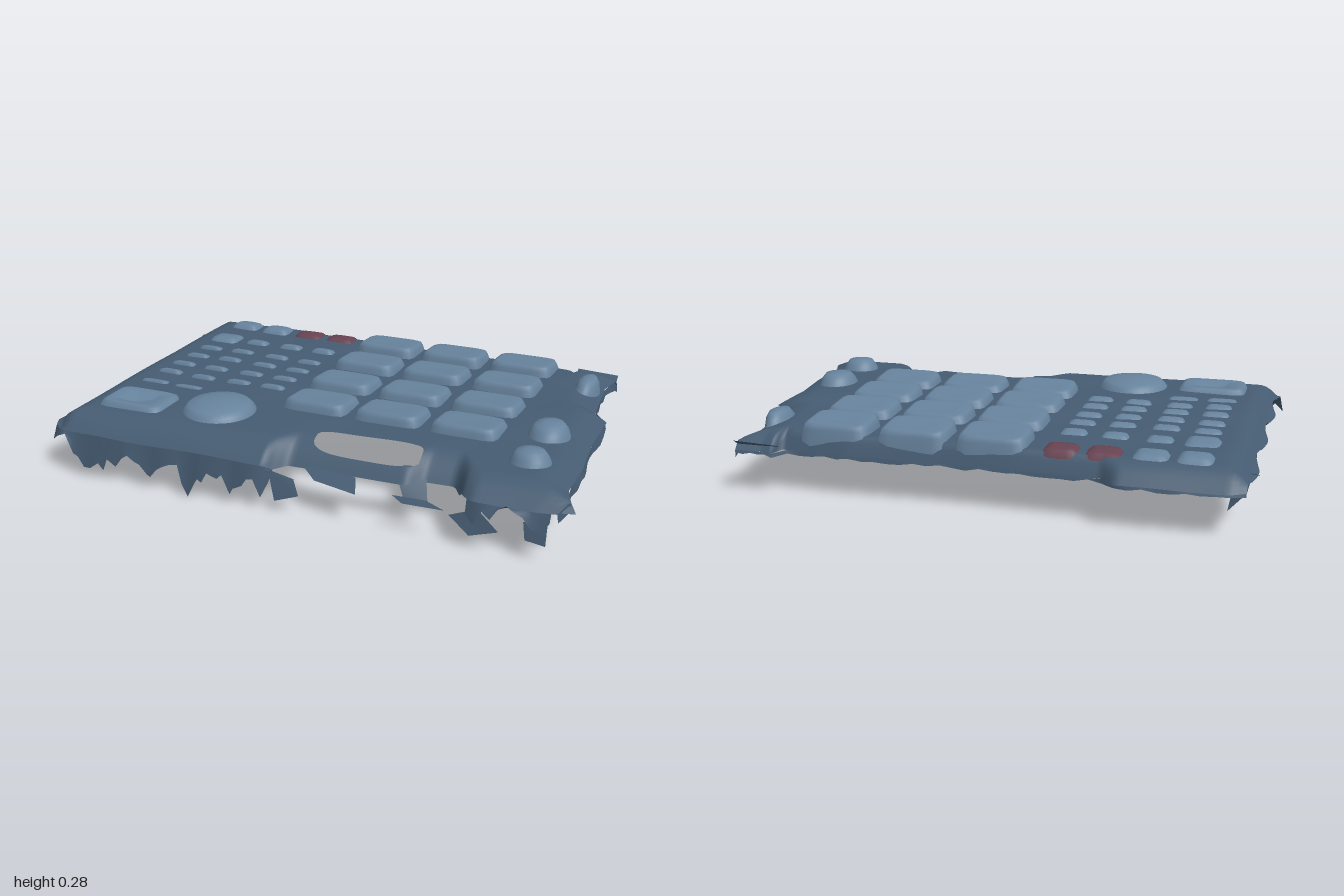
import * as THREE from 'three';

const mat = (color, side = THREE.DoubleSide) => new THREE.MeshStandardMaterial({ color, side });
const panelMat = mat(0x465c72), keyMat = mat(0x67839d), redMat = mat(0x684352);
const innerMat = mat(0x465c72, THREE.FrontSide);

// Piecewise linear curve through [position, value] knots
function curve(knots, x) {
  if (x <= knots[0][0]) return knots[0][1];
  for (let i = 1; i < knots.length; i++) {
    const [a, va] = knots[i - 1], [b, vb] = knots[i];
    if (x <= b) return va + (vb - va) * (x - a) / (b - a);
  }
  return knots[knots.length - 1][1];
}
const hash = (n) => { const s = Math.sin(n * 127.1 + 3.7) * 43758.5453; return s - Math.floor(s); };

// Outline of the panel seen from above
const BACK = [[-0.97, -0.64], [-0.92, -0.665], [-0.54, -0.675], [-0.48, -0.61], [-0.2, -0.605], [0.1, -0.595],
  [0.45, -0.605], [0.7, -0.585], [0.73, -0.65], [0.8, -0.635], [0.97, -0.64]];
const FRONT = [[-0.97, 0.62], [-0.93, 0.665], [-0.1, 0.655], [-0.04, 0.58], [0.1, 0.575], [0.4, 0.57], [0.45, 0.52],
  [0.56, 0.51], [0.62, 0.61], [0.66, 0.64], [0.9, 0.63], [0.97, 0.62]];
const RIGHT = [[-0.6, 0.86], [-0.5, 0.84], [-0.2, 0.87], [-0.14, 0.93], [0.1, 0.93], [0.3, 0.95], [0.5, 0.95], [0.58, 0.98], [0.64, 0.93]];
const BACK_WIDTH = [[-0.54, 0.1], [-0.48, 0.035], [0.68, 0.035], [0.73, 0.1]];

// Panel height at a point: nearly flat, drooping towards the edges
function heightAt(x, z) {
  const right = curve(RIGHT, z);
  const x0 = x > 0.7 ? 0.7 + (x - 0.7) * 0.27 / (right - 0.7) : x;
  const droop = (d, amount, width) => amount * Math.min(1, Math.max(0, 1 - d / width)) ** 2;
  const gap = x0 > -0.1 && x0 < 0.6;
  return 0.238 - 0.012 * Math.max(0, -z) + 0.003 * Math.sin(x * 13) * Math.sin(z * 11) - Math.max(
    droop(z - curve(BACK, x0), 0.07, curve(BACK_WIDTH, x0)), droop(curve(FRONT, x0) - z, gap ? 0.09 : 0.07, 0.12),
    droop(x + 0.98, 0.055, 0.1), droop(right - x, 0.04, 0.13));
}

// Panel point for u, v in 0..1 (left to right, back to front)
function panelPoint(u, v) {
  const x0 = -0.97 + 1.94 * u, zb = curve(BACK, x0), zf = curve(FRONT, x0);
  const z = zb + (zf - zb) * v;
  let x = x0;
  if (x0 > 0.7) x = 0.7 + (x0 - 0.7) * (curve(RIGHT, z) - 0.7) / 0.27;
  if (x0 < -0.9) x += (-0.9 - x0) / 0.07 * (0.012 * Math.sin(z * 17) - 0.012);
  return new THREE.Vector3(x, heightAt(x, z), z);
}

function mesh(name, points, index, material) {
  const g = new THREE.BufferGeometry().setFromPoints(points);
  g.setIndex(index);
  g.computeVertexNormals();
  const m = new THREE.Mesh(g, material);
  m.name = name;
  return m;
}

// Panel grid: openings are left out and their rims pulled onto the opening outline
function buildPanel(openings) {
  const nx = 130, nz = 90, pts = [], inside = [], index = [];
  for (let j = 0; j <= nz; j++) for (let i = 0; i <= nx; i++) {
    const p = panelPoint(i / nx, j / nz);
    let within = false;
    for (const o of openings) {
      const w = o.w * o.cut, d = o.d * o.cut;
      const r = (Math.abs((p.x - o.x) / w) ** o.power + Math.abs((p.z - o.z) / d) ** o.power) ** (1 / o.power);
      if (r >= 1) continue;
      within = true;
      const k = 1 / Math.max(r, 0.01);
      p.set(o.x + (p.x - o.x) * k, 0, o.z + (p.z - o.z) * k);
      p.y = heightAt(p.x, p.z);
    }
    pts.push(p);
    inside.push(within);
  }
  for (let j = 0; j < nz; j++) for (let i = 0; i < nx; i++) {
    const a = j * (nx + 1) + i, b = a + nx + 1;
    if (inside[a] && inside[b] && inside[a + 1] && inside[b + 1]) continue;
    index.push(a, b, a + 1, b, b + 1, a + 1);
  }
  return mesh('panel', pts, index, panelMat);
}

// Hollow cap: a foot ring lying on the panel, rings of [scale, height], and a centre point
function buildCap(name, f, footScale, rings, material, tilt = 0) {
  const n = 32, pts = [], index = [], all = [[footScale, 0], ...rings];
  all.forEach(([s, y], k) => {
    for (let i = 0; i < n; i++) {
      const a = i / n * Math.PI * 2, c = Math.cos(a), d = Math.sin(a);
      const r = s / (Math.abs(c) ** f.power + Math.abs(d) ** f.power) ** (1 / f.power);
      const x = f.x + c * r * f.w, z = f.z + d * r * f.d;
      pts.push(new THREE.Vector3(x, k ? y + tilt * d * r : heightAt(x, z) - 0.003, z));
    }
  });
  pts.push(new THREE.Vector3(f.x, all[all.length - 1][1], f.z));
  for (let k = 0; k < all.length; k++) for (let i = 0; i < n; i++) {
    const a = k * n + i, b = k * n + (i + 1) % n;
    if (k === all.length - 1) index.push(a, n * all.length, b);
    else index.push(a, a + n, b, b, a + n, b + n);
  }
  return mesh(name, pts, index, material);
}

// Torn edge: a strip hanging from top(t) down to bottom(point, i)
function buildStrip(name, n, top, bottom) {
  const pts = [], index = [];
  for (let i = 0; i <= n; i++) {
    const p = top(i / n), q = bottom(p, i);
    pts.push(p, p.clone().lerp(q, 0.4), q);
    if (i < n) for (let k = 0; k < 2; k++) {
      const a = i * 3 + k;
      index.push(a, a + 1, a + 3, a + 1, a + 4, a + 3);
    }
  }
  return mesh(name, pts, index, panelMat);
}

export function createModel() {
  const group = new THREE.Group();
  const openings = [{ x: 0.225, z: 0.478, w: 0.2, d: 0.057, power: 4, cut: 1 }];
  const foot = (x, z, w, d, power = 8) => ({ x, z, w, d, power, cut: 0.95 });
  const opened = (name, f, footScale, rings, tilt) => {
    openings.push(f);
    group.add(buildCap(name, f, footScale, rings, keyMat, tilt));
  };

  // Large keys, four rows of three, each leaning up towards the front
  for (const z of [-0.495, -0.265, -0.025, 0.205]) for (const x of [-0.08, 0.21, 0.505]) {
    opened('largeKey', foot(x, z, 0.125, 0.09), 1.03, [[0.99, 0.25], [0.92, 0.266], [0.82, 0.271], [0.5, 0.268]], 0.007);
  }

  // Small buttons on the left half
  const small = (name, x, z, w, d, h, material = keyMat) => {
    const y = heightAt(x, z);
    group.add(buildCap(name, foot(x, z, w, d, 5), 1.12, [[0.9, y + h * 0.7], [0.6, y + h]], material, 0.004));
  };
  [-0.79, -0.64, -0.48, -0.33].forEach((x, i) => {
    small(i < 2 ? 'topButton' : 'redButton', x, -0.54, 0.057, 0.045, i < 2 ? 0.018 : 0.012, i < 2 ? keyMat : redMat);
    small('upperButton', x, -0.35, i ? 0.045 : 0.058, i ? 0.025 : 0.05, 0.013);
    for (const z of [-0.21, -0.1, 0.015, 0.12]) small('smallButton', x, z, 0.047, 0.019, 0.011);
    if (i < 2) small('lowButton', x, 0.235, 0.055, 0.017, 0.006);
  });

  // Display pad with a shallow sunken middle
  opened('displayPad', foot(-0.73, 0.445, 0.13, 0.092), 1.03, [[0.95, 0.253], [0.85, 0.258], [0.5, 0.254], [0.35, 0.238]]);

  // Main knob and the three small knobs on the right
  opened('mainKnob', foot(-0.41, 0.4, 0.135, 0.135, 2), 1.03, [[0.97, 0.25], [0.85, 0.266], [0.5, 0.275], [0.12, 0.278]]);
  for (const [x, z, w, d, top] of [[0.79, -0.41, 0.045, 0.085, 0.264], [0.785, 0.14, 0.073, 0.085, 0.282], [0.79, 0.4, 0.07, 0.065, 0.283]]) {
    opened('smallKnob', foot(x, z, w, d, 2), 1.06, [[0.92, top - 0.025], [0.7, top - 0.005], [0.3, top]]);
  }
  group.add(buildPanel(openings));

  // Torn front walls, left and right of the cut-out
  group.add(buildStrip('frontWallLeft', 34, (t) => panelPoint(t * 0.46, 1), (p, i) => {
    const y = i === 22 ? 0 : (p.x < -0.9 ? 0.1 : 0.04) + 0.08 * hash(i);
    return new THREE.Vector3(p.x + 0.02 * (hash(i + 50) - 0.5), y, p.z + 0.015);
  }));
  group.add(buildStrip('frontWallRight', 10, (t) => panelPoint(0.83 + t * 0.16, 1), (p, i) =>
    new THREE.Vector3(p.x, 0.09 + 0.09 * hash(i + 7), p.z + 0.015)));
  // Side and back lips, the left one tucked under
  group.add(buildStrip('leftLip', 24, (t) => panelPoint(0, t), (p, i) =>
    new THREE.Vector3(p.x + 0.06, p.y - 0.045 - 0.02 * hash(i + 20), p.z)));
  group.add(buildStrip('rightLip', 24, (t) => panelPoint(1, t), (p, i) =>
    new THREE.Vector3(p.x + 0.01 * hash(i), p.y - 0.015 - 0.025 * hash(i + 40), p.z)));
  group.add(buildStrip('backLip', 40, (t) => panelPoint(t, 0), (p, i) =>
    new THREE.Vector3(p.x, p.y - 0.005 - 0.012 * hash(i + 80), p.z - 0.003)));

  // Flap hanging under the left side, facing inwards
  const flap = [[0.38, 0.16], [0.28, 0.06], [0.07, 0.03], [-0.05, 0.035], [-0.14, 0.13], [0.1, 0.17]];
  group.add(mesh('innerFlap', flap.map(([z, y]) => new THREE.Vector3(-0.9, y, z)), [0, 1, 5, 1, 2, 5, 2, 3, 5, 3, 4, 5], innerMat));

  // Loose scraps around the cut-out and the corners
  const scraps = [
    [[0.0, 0.16, 0.56], [0.08, 0.13, 0.62], [0.25, 0.12, 0.65], [0.22, 0.15, 0.58]],
    [[-0.1, 0.14, 0.62], [-0.06, 0.04, 0.655], [0.03, 0.07, 0.645], [0.0, 0.12, 0.62]],
    [[0.37, 0.16, 0.56], [0.4, 0.1, 0.58], [0.48, 0.09, 0.56], [0.46, 0.16, 0.52]],
    [[0.58, 0.1, 0.63], [0.66, 0.05, 0.655], [0.76, 0.08, 0.65], [0.68, 0.14, 0.63]],
    [[0.84, 0.13, 0.64], [0.85, 0.07, 0.65], [0.92, 0.06, 0.65], [0.92, 0.15, 0.63]],
    [[0.92, 0.21, 0.56], [0.92, 0.17, 0.62], [1.0, 0.165, 0.59], [0.97, 0.19, 0.55]],
    [[-0.93, 0.2, -0.53], [-1.0, 0.18, -0.49], [-0.98, 0.17, -0.47], [-0.93, 0.2, -0.44]],
    [[0.38, 0.14, 0.64], [0.42, 0.12, 0.65], [0.57, 0.12, 0.645], [0.5, 0.14, 0.635]],
    [[0.69, 0.2, -0.67], [0.69, 0.18, -0.62], [0.86, 0.18, -0.62], [0.86, 0.2, -0.65]],
  ];
  for (const s of scraps) group.add(mesh('scrap', s.map((p) => new THREE.Vector3(...p)), [0, 1, 2, 0, 2, 3], panelMat));
  return group;
}
